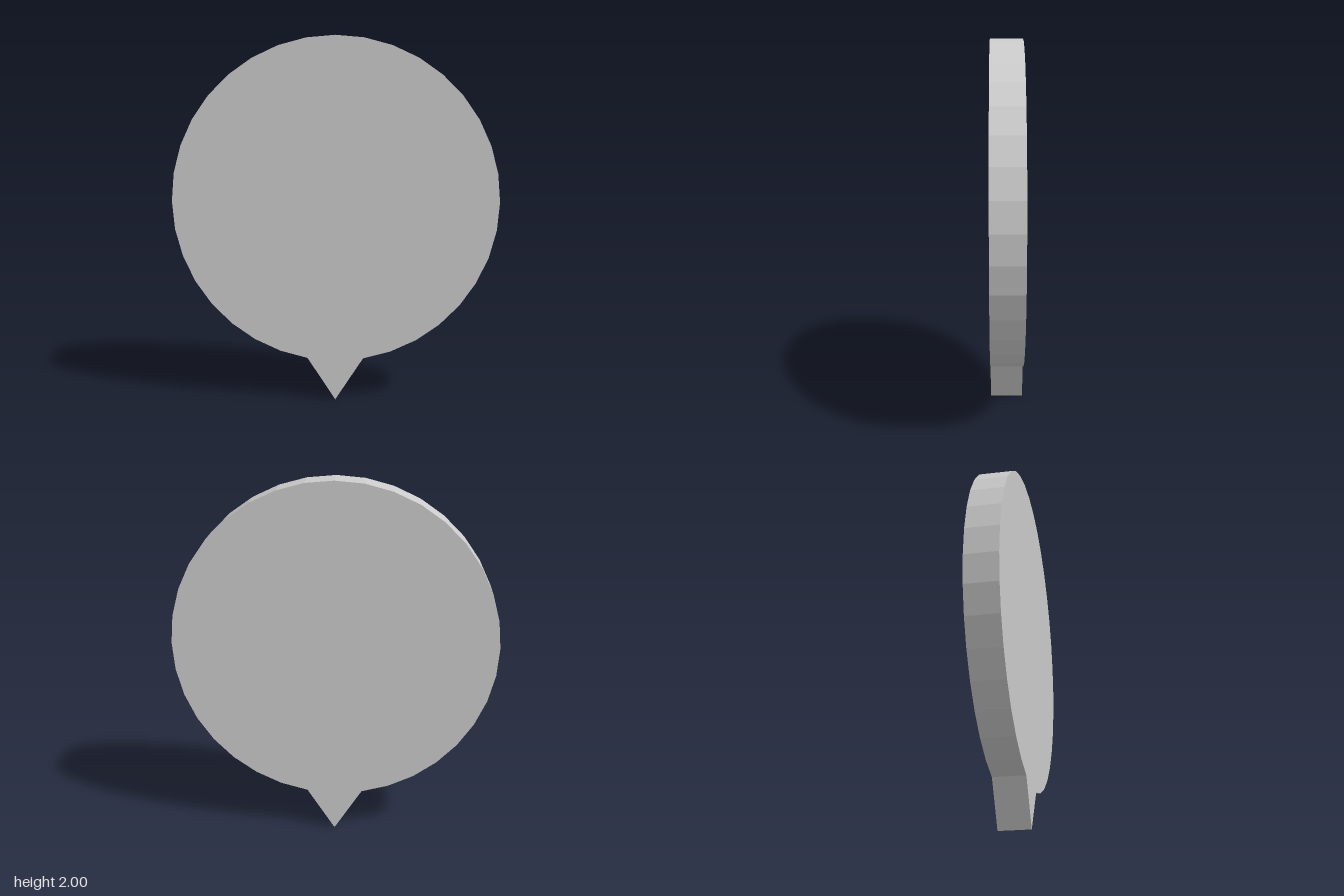
import * as THREE from 'three';

const SIDES = 36;
const RADIUS = 0.888;
const CENTRE_Y = 2 - RADIUS;
const DEPTH = 0.177;

export function createModel() {
  const group = new THREE.Group();
  group.name = 'speechBubble';

  // Round outline, counter-clockwise from the top; the lowest corner is pulled down into the pointer
  const outline = [];
  for (let i = 0; i < SIDES; i++) {
    const a = (i / SIDES) * Math.PI * 2;
    outline.push(i === SIDES / 2
      ? new THREE.Vector2(0, 0)
      : new THREE.Vector2(-RADIUS * Math.sin(a), CENTRE_Y + RADIUS * Math.cos(a)));
  }

  // Flat slab, centred on z
  const geometry = new THREE.ExtrudeGeometry(new THREE.Shape(outline), {
    depth: DEPTH,
    bevelEnabled: false,
  });
  geometry.translate(0, 0, -DEPTH / 2);

  const material = new THREE.MeshStandardMaterial({ color: 0xcccccc, flatShading: true });
  const bubble = new THREE.Mesh(geometry, material);
  bubble.name = 'bubbleWithPointer';
  group.add(bubble);
  return group;
}
